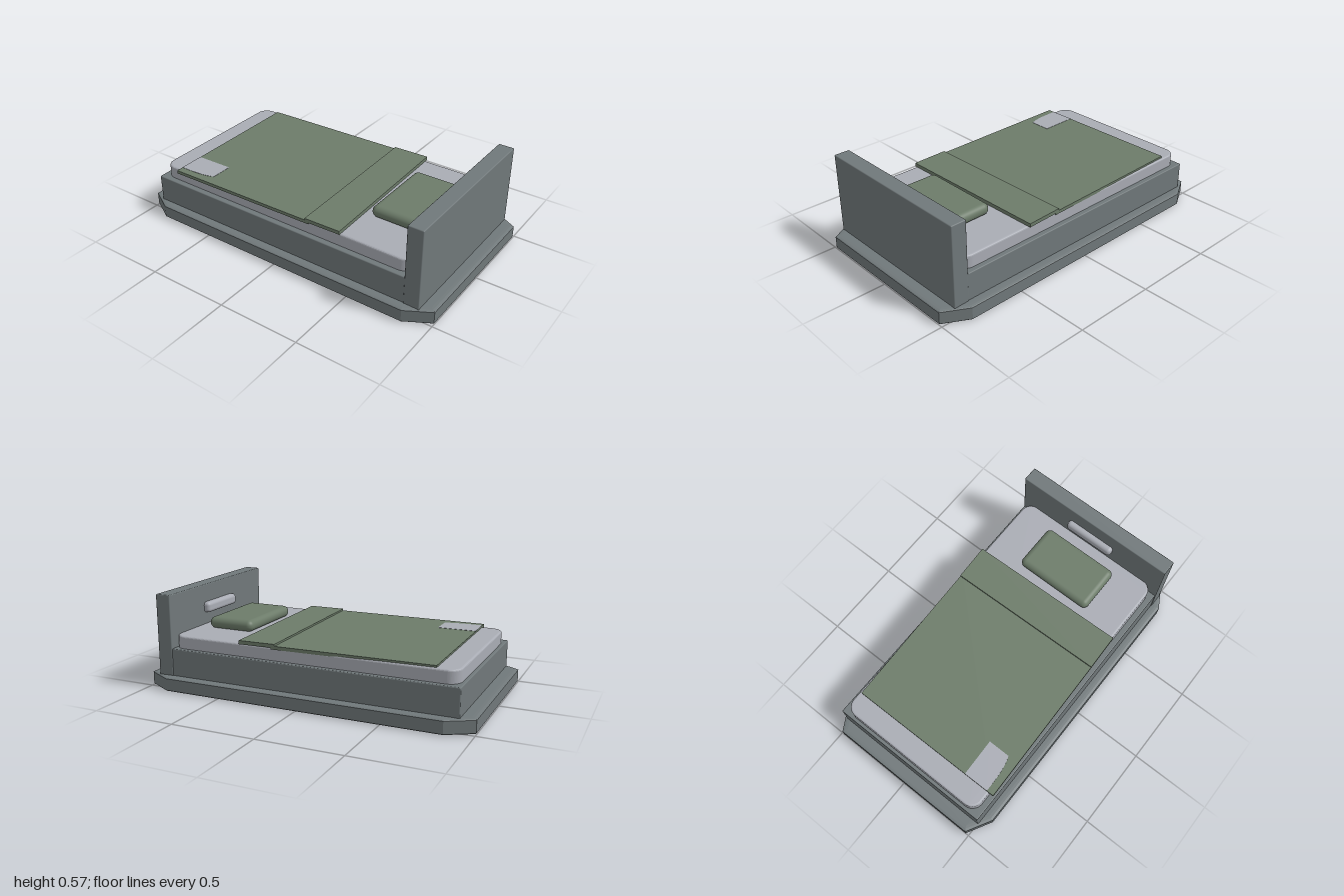
import * as THREE from 'three';
import { RoundedBoxGeometry } from 'three/addons/geometries/RoundedBoxGeometry.js';

const material = (name, color) => {
  const m = new THREE.MeshStandardMaterial({ color });
  m.name = name;
  return m;
};

// Slab with a plan outline given as a Shape in (x, -z), between two heights
function slab(shape, y0, y1, inset = 0, rise = 0) {
  const geometry = new THREE.ExtrudeGeometry(shape, {
    depth: y1 - y0 - 2 * rise,
    bevelEnabled: inset > 0,
    bevelSize: inset,
    bevelOffset: -inset,
    bevelThickness: rise,
    bevelSegments: 3,
    curveSegments: 8,
  });
  return geometry.rotateX(-Math.PI / 2).translate(0, y0 + rise, 0);
}

// Straight-sided outline from [x, z] corners
const outline = (points) => new THREE.Shape(points.map(([x, z]) => new THREE.Vector2(x, -z)));

// Rectangle outline with rounded corners
function roundedOutline(x0, x1, z0, z1, r) {
  const s = new THREE.Shape();
  s.absarc(x1 - r, -z0 - r, r, 0, Math.PI / 2);
  s.absarc(x0 + r, -z0 - r, r, Math.PI / 2, Math.PI);
  s.absarc(x0 + r, -z1 + r, r, Math.PI, Math.PI * 1.5);
  s.absarc(x1 - r, -z1 + r, r, Math.PI * 1.5, Math.PI * 2);
  return s;
}

// Rounded box given by its extents
function softBox(x0, x1, y0, y1, z0, z1, r) {
  return new RoundedBoxGeometry(x1 - x0, y1 - y0, z1 - z0, 5, r)
    .translate((x0 + x1) / 2, (y0 + y1) / 2, (z0 + z1) / 2);
}

export function createModel() {
  const group = new THREE.Group();
  group.name = 'bed';
  const grey = material('slate grey', 0x70787a);
  const pale = material('pale linen', 0xa9acb4);
  const green = material('sage green', 0x6c7b69);

  const add = (name, geometry, mat) => {
    const mesh = new THREE.Mesh(geometry, mat);
    mesh.name = name;
    group.add(mesh);
  };

  // Floor plinth with cut corners
  add('plinth', slab(outline([
    [-1, 0.48], [-0.85, 0.565], [0.85, 0.565], [1, 0.48],
    [1, -0.48], [0.85, -0.565], [-0.85, -0.565], [-1, -0.48],
  ]), 0, 0.087, 0.03, 0.008), grey);

  // Bed box and headboard
  add('frame', softBox(-0.92, 0.86, 0.07, 0.25, -0.512, 0.512, 0.006), grey);
  add('headboard', softBox(0.83, 0.925, 0.08, 0.572, -0.516, 0.516, 0.006), grey);

  // Mattress with rounded plan corners
  add('mattress', slab(roundedOutline(-0.9, 0.835, -0.482, 0.477, 0.07), 0.24, 0.326, 0.012, 0.01), pale);

  // Slightly skewed blanket with its turned-back fold
  add('blanket', slab(outline([
    [-0.768, 0.507], [0.2, 0.49], [0.18, -0.49], [-0.776, -0.467],
  ]), 0.317, 0.337), green);
  add('blanketFold', slab(outline([
    [0.178, 0.491], [0.405, 0.485], [0.382, -0.497], [0.157, -0.489],
  ]), 0.326, 0.348), green);

  // Bare corner of linen showing at the foot
  const patch = new THREE.Shape();
  patch.moveTo(-0.768, -0.462);
  patch.quadraticCurveTo(-0.6, -0.465, -0.538, -0.435);
  patch.lineTo(-0.538, -0.3);
  patch.lineTo(-0.77, -0.306);
  add('linenPatch', slab(patch, 0.336, 0.3385), pale);

  // Pillow and headboard lamp
  add('pillow', softBox(0.445, 0.742, 0.326, 0.396, -0.252, 0.245, 0.034), green);
  add('headboardLamp', softBox(0.793, 0.85, 0.396, 0.462, -0.163, 0.16, 0.022), pale);

  return group;
}
